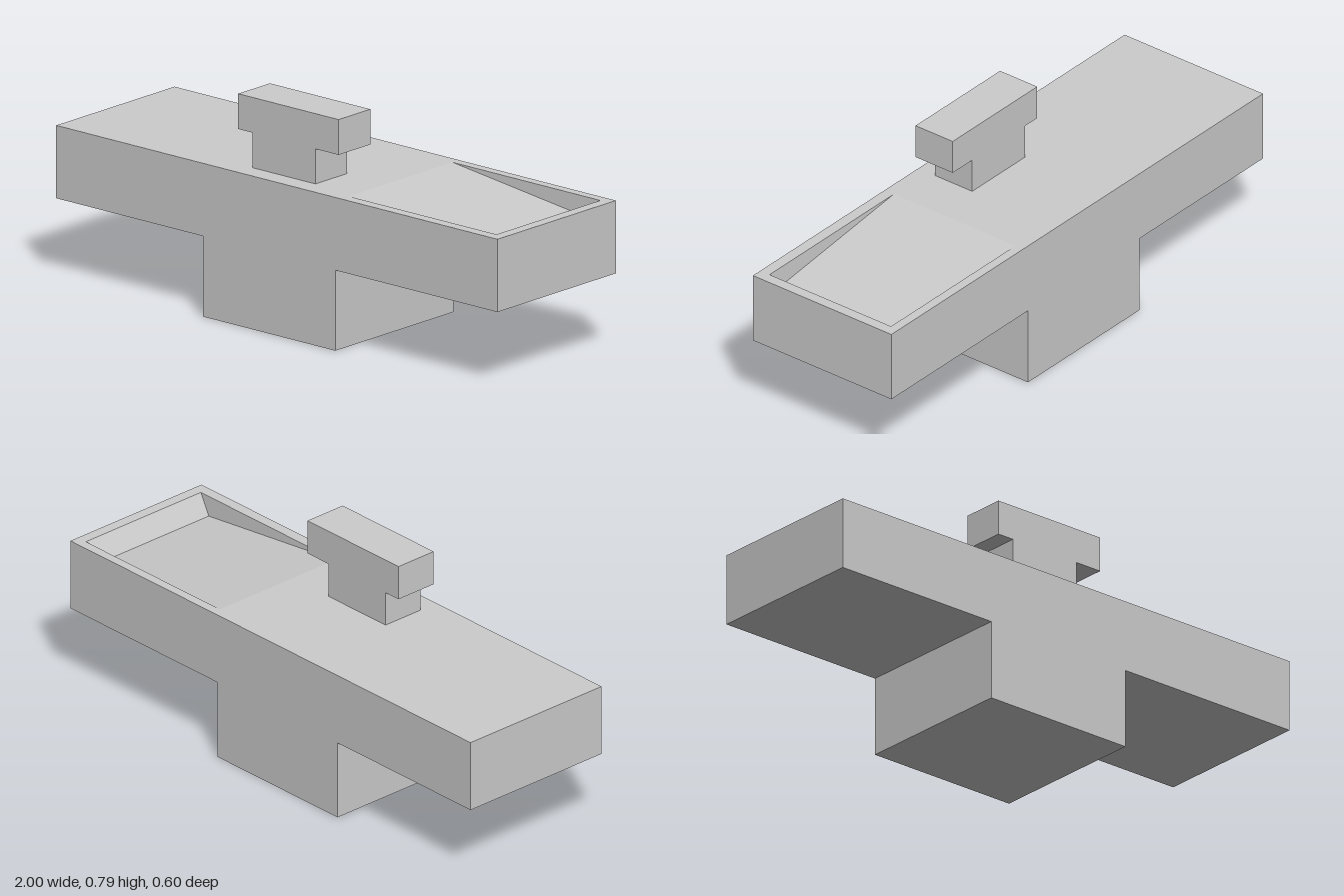
import * as THREE from 'three';

const material = new THREE.MeshStandardMaterial({ color: 0xcccccc, flatShading: true });

// Mesh from convex faces, each a counter-clockwise list of [x, y, z] corners
function faceMesh(name, faces) {
  const positions = [];
  for (const f of faces) {
    for (let i = 1; i < f.length - 1; i++) positions.push(...f[0], ...f[i], ...f[i + 1]);
  }
  const geometry = new THREE.BufferGeometry();
  geometry.setAttribute('position', new THREE.Float32BufferAttribute(positions, 3));
  geometry.computeVertexNormals();
  const mesh = new THREE.Mesh(geometry, material);
  mesh.name = name;
  return mesh;
}

// Horizontal rectangle facing up or down
const flat = (x0, x1, z0, z1, y, up = true) => {
  const f = [[x0, y, z1], [x1, y, z1], [x1, y, z0], [x0, y, z0]];
  return up ? f : f.reverse();
};

// Four upright sides of a block
const sides = (x0, x1, y0, y1, z0, z1) => {
  const c = [[x0, z1], [x1, z1], [x1, z0], [x0, z0]];
  return c.map(([x, z], i) => {
    const [u, w] = c[(i + 1) % 4];
    return [[x, y0, z], [u, y0, w], [u, y1, w], [x, y1, z]];
  });
};

export function createModel() {
  const group = new THREE.Group();
  group.name = 'washbasin';

  const D = 0.302, under = 0.285, top = 0.543;
  const baseL = -0.335, baseR = 0.265;
  // Basin opening and the foot of its sloping floor
  const bx0 = 0.29, bx1 = 0.96, bz0 = -0.268, bz1 = 0.262;
  const fx = 0.917, fy = top - 0.073, fz0 = bz0 + 0.003, fz1 = bz1 - 0.003;

  // Slab with an opening in its top
  group.add(faceMesh('counter', [
    ...sides(-1, 1, under, top, -D, D),
    flat(-1, baseL, -D, D, under, false),
    flat(baseR, 1, -D, D, under, false),
    flat(-1, bx0, -D, D, top),
    flat(bx1, 1, -D, D, top),
    flat(bx0, bx1, -D, bz0, top),
    flat(bx0, bx1, bz1, D, top),
  ]));

  // Sloping floor, steep end wall and two tapering side walls
  const a = [bx0, top, bz0], b = [bx0, top, bz1];
  const c = [bx1, top, bz0], d = [bx1, top, bz1];
  const e = [fx, fy, fz0], f = [fx, fy, fz1];
  group.add(faceMesh('basin', [[b, f, e, a], [f, d, c, e], [a, e, c], [b, d, f]]));

  // Pedestal
  group.add(faceMesh('pedestal', [
    ...sides(baseL, baseR, 0, under, -D, D),
    flat(baseL, baseR, -D, D, 0, false),
  ]));

  // T-shaped tap
  const s = new THREE.Shape([
    [-0.175, top], [0.11, top], [0.11, 0.667], [0.215, 0.667],
    [0.215, 0.792], [-0.24, 0.792], [-0.24, 0.667], [-0.175, 0.667],
  ].map(([x, y]) => new THREE.Vector2(x, y)));
  const tap = new THREE.Mesh(
    new THREE.ExtrudeGeometry(s, { depth: 0.162, bevelEnabled: false }), material);
  tap.position.z = 0.067;
  tap.name = 'tap';
  group.add(tap);

  return group;
}
